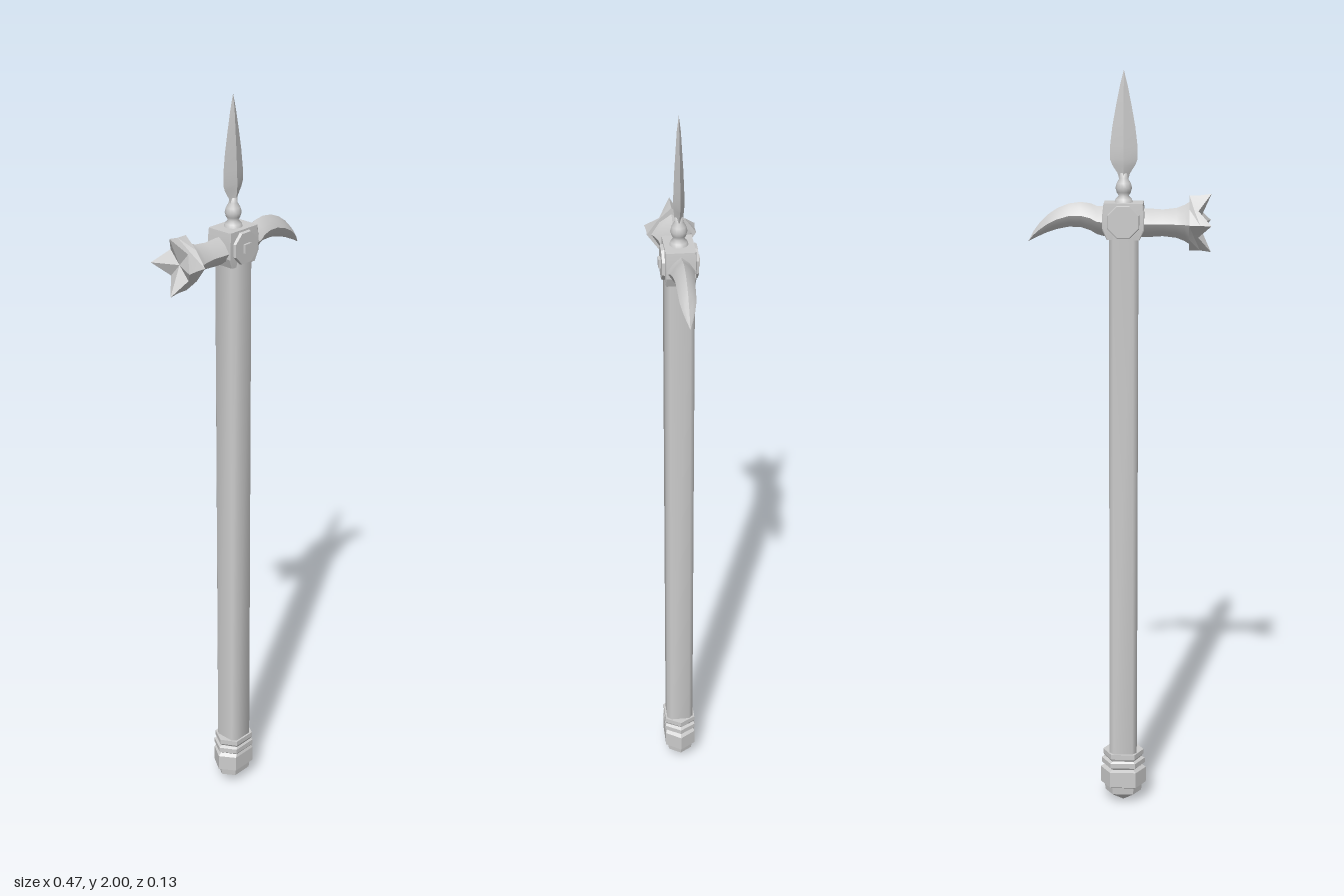
import * as THREE from 'three';
import { toCreasedNormals } from 'three/addons/utils/BufferGeometryUtils.js';

const material = new THREE.MeshStandardMaterial({ color: 0xcccccc });
const CX = -0.01;   // axis of the shaft
const HY = 1.62;    // height of the head's axis

// Skin a list of closed rings (counter-clockwise seen from the far end).
function loft(rings, crease = 0.5) {
  const pos = [];
  const tri = (a, b, c) => {
    const area = b.clone().sub(a).cross(c.clone().sub(a)).length();
    if (area > 1e-10) for (const p of [a, b, c]) pos.push(p.x, p.y, p.z);
  };
  for (let k = 0; k + 1 < rings.length; k++) {
    const r = rings[k], s = rings[k + 1], n = r.length;
    for (let i = 0; i < n; i++) {
      const j = (i + 1) % n;
      tri(r[i], r[j], s[j]);
      tri(r[i], s[j], s[i]);
    }
  }
  const g = new THREE.BufferGeometry();
  g.setAttribute('position', new THREE.Float32BufferAttribute(pos, 3));
  return toCreasedNormals(g, crease);
}

// Ring around the vertical axis from [x, z] outline points.
const ringY = (outline, y, sx = 1, sz = sx) =>
  outline.map(([x, z]) => new THREE.Vector3(CX + x * sx, y, z * sz));

// Eight-point ring around the x axis; diag scales the four diagonal points.
function ringX(x, cy, hy, hz, diag, xDiag = x) {
  return Array.from({ length: 8 }, (_, i) => {
    const a = i * Math.PI / 4, odd = i % 2, k = odd ? diag : 1;
    return new THREE.Vector3(odd ? xDiag : x, cy + Math.cos(a) * hy * k, Math.sin(a) * hz * k);
  });
}

export function createModel() {
  const group = new THREE.Group();
  const add = (name, geometry, x = 0, y = 0, z = 0) => {
    const m = new THREE.Mesh(geometry, material);
    m.name = name;
    m.position.set(x, y, z);
    group.add(m);
    return m;
  };

  // Shaft: square with narrow chamfered corners
  const h = 0.037, c = 0.026;
  const square = [[h, -c], [h, c], [c, h], [-c, h], [-h, c], [-h, -c], [-c, -h], [c, -h]].reverse();
  add('shaft', loft([ringY(square, 0.1), ringY(square, 1.61)], 0.9));

  // Pommel: flattened hexagon, stepped collar above and a pointed foot
  const hex = [[1, 0], [0.57, -1], [-0.57, -1], [-1, 0], [-0.57, 1], [0.57, 1]];
  const pommel = [
    [0, 0, 0], [0.03, 0.05, 0.033], [0.05, 0.052, 0.035], [0.055, 0.063, 0.042],
    [0.1, 0.063, 0.042], [0.108, 0.052, 0.039], [0.114, 0.06, 0.043],
    [0.128, 0.06, 0.043], [0.133, 0.05, 0.039], [0.14, 0.056, 0.042],
    [0.154, 0.056, 0.042], [0.154, 0, 0],
  ];
  add('pommel', loft(pommel.map(([y, sx, sz]) => ringY(hex, y, sx, sz)), 0.3));

  // Head block: bevelled box with side plates and rivets
  const box = [[1, -0.95], [0.95, -1], [-0.95, -1], [-1, -0.95], [-1, 0.95], [-0.95, 1], [0.95, 1], [1, 0.95]];
  const block = [[1.58, 0, 0], [1.58, 0.042, 0.036], [1.605, 0.053, 0.038], [1.645, 0.053, 0.038],
    [1.672, 0.05, 0.037], [1.672, 0, 0]];
  add('headBlock', loft(block.map(([y, sx, sz]) => ringY(box, y, sx, sz)), 0.3));
  const octagon = new THREE.CylinderGeometry(0.042, 0.045, 0.01, 8);
  octagon.rotateY(Math.PI / 8).rotateX(Math.PI / 2);
  for (const s of [1, -1]) {
    const plate = add('sidePlate', toCreasedNormals(octagon, 0.4), CX, 1.626, s * 0.04);
    if (s < 0) plate.rotation.y = Math.PI;
    add('rivet', new THREE.BoxGeometry(0.023, 0.023, 0.014), CX, 1.626, s * 0.044);
  }

  // Hammer neck flaring out towards the crown: [x, half height, half depth]
  const neck = [[-0.178, 0.054, 0.052], [-0.165, 0.046, 0.045], [-0.145, 0.038, 0.038],
    [-0.11, 0.034, 0.033], [-0.08, 0.036, 0.035], [-0.05, 0.037, 0.036]];
  add('hammerNeck', loft(neck.map(([x, hy, hz]) => ringX(x, HY, hy, hz, 0.85)), 0.6));

  // Crown: four prongs round a hollow striking face
  add('hammerCrown', loft([
    ringX(-0.2, HY, 0, 0, 1),
    ringX(-0.233, HY, 0.074, 0.065, 0.64, -0.2),
    ringX(-0.205, HY, 0.07, 0.062, 0.68, -0.19),
    ringX(-0.177, HY, 0.07, 0.063, 0.78),
    ringX(-0.177, HY, 0, 0, 1),
  ], 0.3));

  // Beak curving down to a point: [x, bottom, top, half depth]
  const beak = [[0.03, 1.583, 1.662, 0.036], [0.058, 1.59, 1.662, 0.033], [0.075, 1.6, 1.669, 0.029],
    [0.1, 1.608, 1.672, 0.026], [0.13, 1.609, 1.668, 0.023], [0.16, 1.603, 1.656, 0.022],
    [0.185, 1.595, 1.639, 0.02], [0.205, 1.586, 1.619, 0.015], [0.222, 1.578, 1.596, 0.008],
    [0.235, 1.571, 1.571, 0]];
  add('beak', loft(beak.map(([x, lo, hi, hz]) => ringX(x, (lo + hi) / 2, (hi - lo) / 2, hz, 0.82)), 0.6));

  // Turned socket and ball under the spear point
  const socket = [[0.024, 1.67], [0.021, 1.68], [0.013, 1.688], [0.018, 1.697], [0.021, 1.708],
    [0.018, 1.72], [0.011, 1.732], [0.01, 1.745], [0, 1.75]];
  add('spearSocket', new THREE.LatheGeometry(socket.map(p => new THREE.Vector2(...p)), 16), CX);

  // Leaf-shaped spear blade with a central ridge: [y, half width, half depth]
  const diamond = [[1, 0], [0, -1], [-1, 0], [0, 1]];
  const blade = [[1.725, 0.01, 0.009], [1.745, 0.016, 0.011], [1.765, 0.029, 0.013], [1.78, 0.035, 0.014],
    [1.81, 0.035, 0.013], [1.86, 0.029, 0.011], [1.91, 0.02, 0.008], [1.96, 0.01, 0.005], [2, 0, 0]];
  add('spearBlade', loft(blade.map(([y, sx, sz]) => ringY(diamond, y, sx, sz)), 0.5));

  return group;
}
